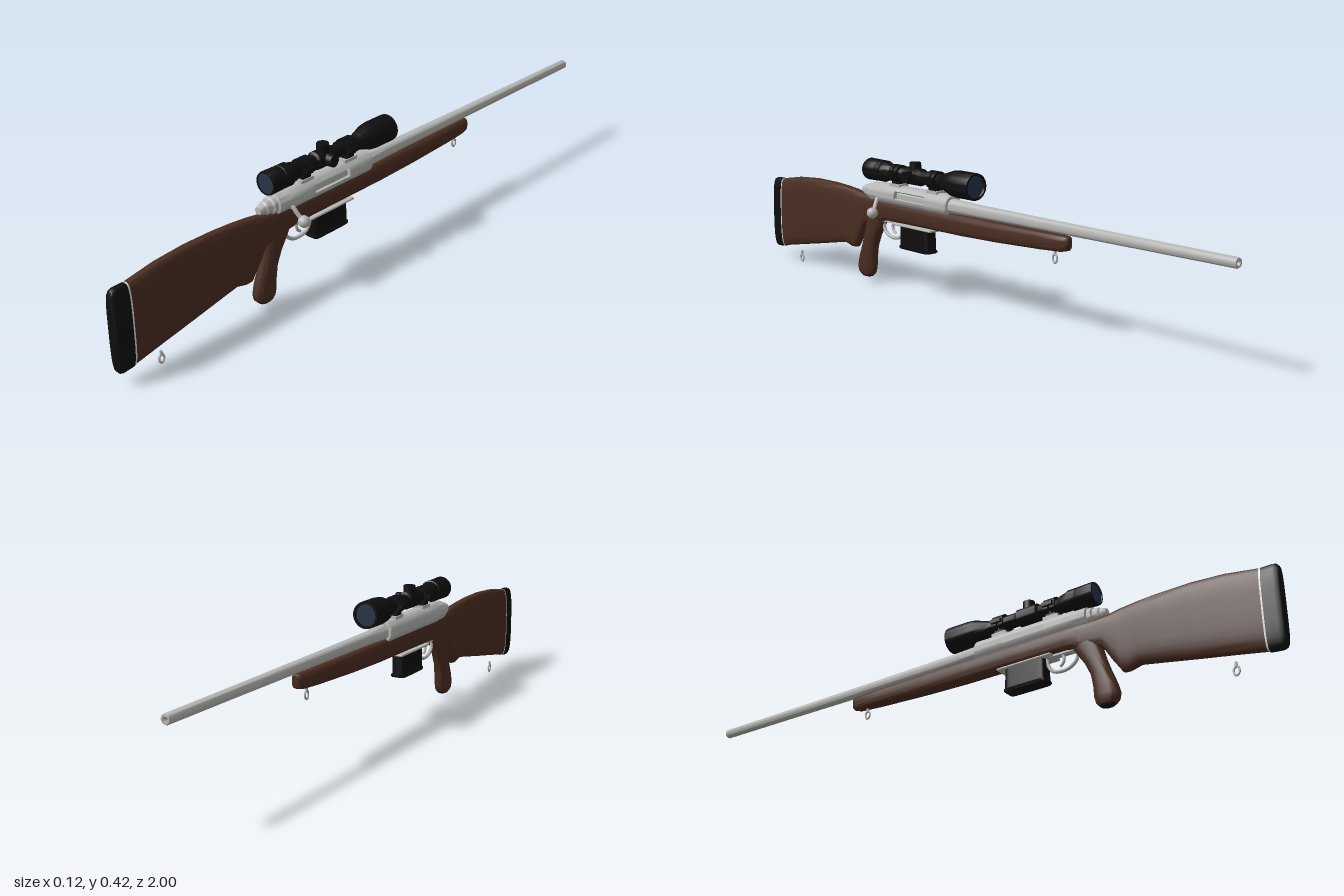
import * as THREE from 'three';
import { toCreasedNormals } from 'three/addons/utils/BufferGeometryUtils.js';
import { RoundedBoxGeometry } from 'three/addons/geometries/RoundedBoxGeometry.js';

const mat = (name, color, side = THREE.FrontSide) => new THREE.MeshStandardMaterial({ name, color, side });

// Skin a list of rings (arrays of Vector3) and close both ends.
function loft(rings, crease = 0.7) {
  const n = rings[0].length, pos = [], idx = [];
  rings.forEach(r => r.forEach(p => pos.push(p.x, p.y, p.z)));
  for (let i = 0; i < rings.length - 1; i++) {
    for (let j = 0; j < n; j++) {
      const a = i * n + j, b = i * n + (j + 1) % n;
      idx.push(a, b, a + n, b, b + n, a + n);
    }
  }
  const last = (rings.length - 1) * n;
  for (let j = 1; j < n - 1; j++) {
    idx.push(0, j + 1, j, last, last + j, last + j + 1);
  }
  const g = new THREE.BufferGeometry();
  g.setAttribute('position', new THREE.Float32BufferAttribute(pos, 3));
  g.setIndex(idx);
  return toCreasedNormals(g, crease);
}

// Superellipse outline: a across x, b across the second axis.
function outline(a, b, power, place) {
  const pts = [];
  for (let i = 0; i < 28; i++) {
    const t = i / 28 * Math.PI * 2, c = Math.cos(t), s = Math.sin(t);
    pts.push(place(a * Math.sign(c) * Math.abs(c) ** power, b * Math.sign(s) * Math.abs(s) ** power));
  }
  return pts;
}

// Sections along z: [z, top, bottom, half width]
const loftZ = (sections, power = 0.65) => loft(sections.map(([z, top, bottom, w]) =>
  outline(w, (top - bottom) / 2, power, (x, y) => new THREE.Vector3(x, (top + bottom) / 2 + y, z))));

// Sections going down y: [y, front z, rear z, half width]
const loftDown = (sections, power = 0.8) => loft(sections.map(([y, z0, z1, w]) =>
  outline(w, (z1 - z0) / 2, power, (x, z) => new THREE.Vector3(x, y, (z0 + z1) / 2 + z))));

// Turned part along z: [radius, z] with z rising
function turned(profile, segments = 36) {
  const g = new THREE.LatheGeometry(profile.map(([r, z]) => new THREE.Vector2(r, z)), segments);
  return toCreasedNormals(g.rotateX(Math.PI / 2), 0.6);
}

const tube = (points, r) => new THREE.TubeGeometry(
  new THREE.CatmullRomCurve3(points.map(p => new THREE.Vector3(...p))), 32, r, 10);

export function createModel() {
  const model = new THREE.Group();
  model.name = 'boltActionRifle';
  const wood = mat('walnut', 0x4a2d21);
  const steel = mat('steel', 0xb6b6b4, THREE.DoubleSide);
  const black = mat('black', 0x0e0e0f);
  const glass = mat('lensGlass', 0x26344a);
  const pale = mat('spacerWhite', 0xdededa);

  const add = (name, geometry, material, x = 0, y = 0, z = 0, parent = model) => {
    const m = new THREE.Mesh(geometry, material);
    m.name = name;
    m.position.set(x, y, z);
    parent.add(m);
    return m;
  };

  // Stock
  add('foreStock', loftZ([
    [-0.436, 0.278, 0.25, 0.008], [-0.43, 0.282, 0.241, 0.015], [-0.41, 0.283, 0.236, 0.019],
    [-0.33, 0.283, 0.231, 0.022], [-0.15, 0.283, 0.223, 0.025], [0, 0.284, 0.219, 0.026],
    [0.2, 0.284, 0.218, 0.026], [0.36, 0.285, 0.216, 0.025], [0.4, 0.288, 0.205, 0.023],
  ]), wood);
  add('buttStock', loftZ([
    [0.39, 0.287, 0.207, 0.023], [0.44, 0.286, 0.2, 0.021], [0.475, 0.288, 0.19, 0.02],
    [0.5, 0.292, 0.148, 0.02], [0.53, 0.297, 0.104, 0.02], [0.55, 0.299, 0.103, 0.02],
    [0.585, 0.302, 0.112, 0.021], [0.65, 0.306, 0.1, 0.021], [0.75, 0.307, 0.081, 0.021],
    [0.85, 0.3, 0.063, 0.021], [0.946, 0.284, 0.045, 0.021],
  ], 0.6), wood);
  add('pistolGrip', loftDown([
    [0.235, 0.365, 0.46, 0.021], [0.2, 0.385, 0.468, 0.021], [0.16, 0.412, 0.478, 0.021],
    [0.12, 0.43, 0.492, 0.021], [0.08, 0.436, 0.508, 0.022], [0.05, 0.437, 0.516, 0.022],
    [0.032, 0.442, 0.512, 0.021], [0.022, 0.45, 0.502, 0.017],
  ]), wood);
  add('gripCap', loftDown([[0.0225, 0.453, 0.499, 0.015], [0.017, 0.456, 0.496, 0.013]]), black);
  add('buttSpacer', loftZ([[0.946, 0.284, 0.043, 0.021], [0.951, 0.284, 0.042, 0.021]], 0.6), pale);
  add('buttPad', loftZ([
    [0.951, 0.284, 0.041, 0.021], [0.985, 0.284, 0.038, 0.021], [0.995, 0.281, 0.041, 0.02],
    [1, 0.274, 0.048, 0.017],
  ], 0.6), black);

  // Barrel and action
  const action = new THREE.Group();
  action.name = 'action';
  action.position.y = 0.302;
  model.add(action);
  add('barrel', turned([
    [0.007, -0.94], [0.007, -1], [0.0125, -1], [0.0145, -0.996], [0.0155, -0.7], [0.0175, -0.35],
    [0.02, -0.05], [0.023, 0.05], [0.023, 0.08],
  ]), steel, 0, 0, 0, action);
  add('bore', new THREE.CircleGeometry(0.0072, 20).rotateY(Math.PI), black, 0, 0, -0.985, action);
  add('receiverRing', turned([
    [0.022, 0.05], [0.031, 0.05], [0.034, 0.054], [0.034, 0.15], [0.02, 0.15],
  ]), steel, 0, 0, 0, action);
  add('receiverBridge', turned([
    [0.02, 0.295], [0.034, 0.295], [0.034, 0.385], [0.031, 0.392], [0.031, 0.43], [0.02, 0.435],
  ]), steel, 0, 0, 0, action);

  // Receiver wall, open on the bolt handle side
  const wall = new THREE.Shape();
  const a0 = 0.56, a1 = Math.PI * 2 - 0.21;
  wall.absarc(0, 0, 0.034, a0, a1, false);
  wall.absarc(0, 0, 0.026, a1, a0, true);
  add('receiverWall', toCreasedNormals(new THREE.ExtrudeGeometry(wall,
    { depth: 0.145, bevelEnabled: false, curveSegments: 32 }), 0.6), steel, 0, 0, 0.15, action);
  add('bolt', turned([
    [0, 0.12], [0.022, 0.12], [0.022, 0.43], [0.026, 0.434], [0.026, 0.446], [0.021, 0.45],
    [0.02, 0.466], [0.015, 0.472], [0.015, 0.478], [0.011, 0.488], [0, 0.49],
  ]), steel, 0, 0, 0, action);
  add('boltHandle', tube([[0.018, -0.004, 0.385], [0.032, -0.02, 0.383], [0.046, -0.042, 0.377],
    [0.057, -0.053, 0.372]], 0.0065), steel, 0, 0, 0, action);
  add('boltKnob', new THREE.SphereGeometry(0.0175, 24, 16), steel, 0.059, -0.057, 0.372, action);

  // Floor plate, magazine, trigger
  add('floorPlate', new RoundedBoxGeometry(0.056, 0.007, 0.185, 2, 0.003), steel, 0, 0.215, 0.22);
  add('guardTang', new THREE.BoxGeometry(0.022, 0.006, 0.09), steel, 0, 0.214, 0.345);
  add('magazine', loftDown([
    [0.213, 0.151, 0.285, 0.021], [0.15, 0.149, 0.285, 0.021], [0.149, 0.146, 0.288, 0.024],
    [0.143, 0.146, 0.288, 0.024], [0.14, 0.149, 0.285, 0.022],
  ], 0.25), black);
  add('triggerGuard', tube([[0, 0.214, 0.388], [0, 0.185, 0.383], [0, 0.167, 0.36], [0, 0.163, 0.335],
    [0, 0.17, 0.305], [0, 0.19, 0.29], [0, 0.214, 0.285]], 0.0055), steel);
  add('trigger', tube([[0, 0.218, 0.335], [0, 0.2, 0.342], [0, 0.187, 0.338], [0, 0.178, 0.328]], 0.0045), steel);

  // Sling swivels
  for (const [name, y, z] of [['frontSwivel', 0.197, -0.38], ['rearSwivel', 0, 0.855]]) {
    const swivel = new THREE.Group();
    swivel.name = name;
    swivel.position.set(0, y, z);
    model.add(swivel);
    add('swivelLoop', new THREE.TorusGeometry(0.0085, 0.0028, 8, 20).rotateY(Math.PI / 2)
      .scale(1, 1.4, 1), steel, 0, 0.0158, 0, swivel);
    add('swivelStud', new THREE.CylinderGeometry(0.004, 0.004, 0.014, 12), steel, 0, 0.033, 0, swivel);
  }

  // Scope
  const scope = new THREE.Group();
  scope.name = 'scope';
  scope.position.y = 0.372;
  model.add(scope);
  add('scopeBody', turned([
    [0.032, -0.044], [0.034, -0.053], [0.04, -0.053], [0.041, -0.048], [0.041, 0.02], [0.038, 0.045],
    [0.024, 0.088], [0.021, 0.095], [0.021, 0.335], [0.026, 0.345], [0.03, 0.365], [0.031, 0.372],
    [0.034, 0.374], [0.034, 0.4], [0.032, 0.403], [0.034, 0.408], [0.035, 0.452], [0.033, 0.457],
    [0.03, 0.457], [0.03, 0.45],
  ]), black, 0, 0, 0, scope);
  add('objectiveLens', new THREE.CircleGeometry(0.0335, 32).rotateY(Math.PI), glass, 0, 0, -0.047, scope);
  add('eyepieceLens', new THREE.CircleGeometry(0.0305, 32), glass, 0, 0, 0.4535, scope);
  add('turretSaddle', turned([[0.021, 0.19], [0.027, 0.197], [0.027, 0.263], [0.021, 0.27]]), black, 0, 0, 0, scope);
  const turret = new THREE.CylinderGeometry(0.018, 0.019, 0.026, 24);
  add('topTurret', turret, black, 0, 0.031, 0.228, scope);
  add('sideTurret', turret, black, 0.031, 0, 0.228, scope).rotation.z = -Math.PI / 2;

  // Scope mounts
  for (const z of [0.13, 0.31]) {
    add('mountBase', new THREE.BoxGeometry(0.036, 0.012, 0.05), steel, 0, 0.335, z);
    add('mountFoot', new THREE.BoxGeometry(0.03, 0.02, 0.032), black, 0, 0.348, z);
    for (const dz of [-0.011, 0.011]) {
      add('mountRing', turned([[0.02, -0.008], [0.028, -0.008], [0.028, 0.008], [0.02, 0.008]]),
        black, 0, 0, z + dz, scope);
    }
    for (const s of [-1, 1]) {
      add('ringClamp', new THREE.BoxGeometry(0.014, 0.012, 0.034), black, s * 0.029, 0, z, scope);
    }
  }

  model.position.x = -0.018;
  const root = new THREE.Group();
  root.name = 'rifle';
  root.add(model);
  return root;
}
